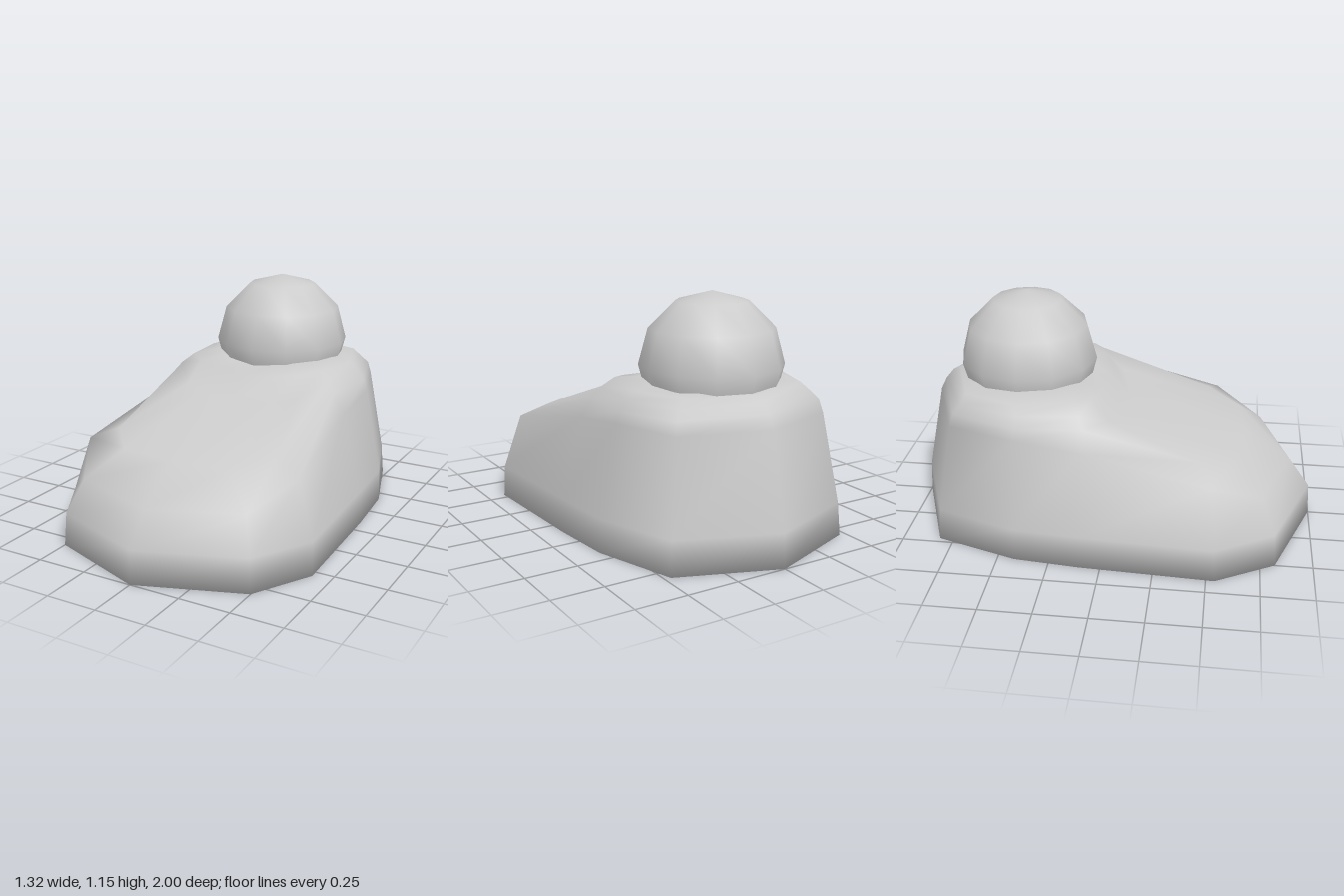
import * as THREE from 'three';

// Half outlines, each running toe -> left side -> heel as [x, y, z]
const RINGS = [
  // sole edge
  [[0, 0, 1], [0.5, 0, 0.82], [0.66, 0, 0.54], [0.63, 0, -0.1], [0.6, 0, -0.42], [0.47, 0, -0.82], [0, 0, -1]],
  // top of the low side wall
  [[0, 0.16, 0.99], [0.49, 0.16, 0.81], [0.655, 0.16, 0.53], [0.62, 0.16, -0.1], [0.595, 0.16, -0.42], [0.46, 0.16, -0.81], [0, 0.16, -0.99]],
  // shoulder
  [[0, 0.31, 0.88], [0.43, 0.32, 0.74], [0.57, 0.43, 0.5], [0.52, 0.55, -0.1], [0.51, 0.59, -0.42], [0.4, 0.59, -0.75], [0, 0.6, -0.9]],
  // toe top
  [[0, 0.46, 0.65], [0.28, 0.46, 0.62], [0.43, 0.49, 0.45], [0.46, 0.64, -0.1], [0.49, 0.64, -0.42], [0.39, 0.65, -0.73], [0, 0.66, -0.87]],
  // instep and ankle
  [[0, 0.59, 0.08], [0.2, 0.6, 0.04], [0.31, 0.62, 0], [0.42, 0.69, -0.12], [0.455, 0.69, -0.42], [0.36, 0.69, -0.7], [0, 0.71, -0.83]],
  // collar rim
  [[0, 0.7, 0], [0.18, 0.71, -0.04], [0.28, 0.72, -0.08], [0.37, 0.735, -0.16], [0.41, 0.725, -0.43], [0.32, 0.73, -0.68], [0, 0.73, -0.79]],
  // inner collar, under the ball
  [[0, 0.725, -0.11], [0.12, 0.735, -0.14], [0.2, 0.745, -0.18], [0.28, 0.75, -0.26], [0.31, 0.75, -0.43], [0.22, 0.74, -0.65], [0, 0.73, -0.74]],
];

// Closed skin through mirrored rings, capped at both ends
function loft(halfRings) {
  const rings = halfRings.map((h) => [
    ...h,
    ...h.slice(1, -1).reverse().map(([x, y, z]) => [-x, y, z]),
  ]);
  const n = rings[0].length;
  const points = rings.flat();
  const index = [];
  for (let r = 0; r < rings.length - 1; r++) {
    for (let j = 0; j < n; j++) {
      const a = r * n + j, b = r * n + ((j + 1) % n);
      index.push(a, b, b + n, a, b + n, a + n);
    }
  }
  const bottom = points.push([0, 0, 0]) - 1;
  const top = points.push([0, 0.74, -0.43]) - 1;
  const last = (rings.length - 1) * n;
  for (let j = 0; j < n; j++) {
    const k = (j + 1) % n;
    index.push(bottom, k, j, top, last + j, last + k);
  }
  const g = new THREE.BufferGeometry();
  g.setAttribute('position', new THREE.Float32BufferAttribute(points.flat(), 3));
  g.setIndex(index);
  g.computeVertexNormals();
  return g;
}

export function createModel() {
  const group = new THREE.Group();
  group.name = 'shoeWithBall';
  const material = new THREE.MeshStandardMaterial({ color: 0xcccccc });

  // Shoe-shaped body
  const body = new THREE.Mesh(loft(RINGS), material);
  body.name = 'shoeBody';
  group.add(body);

  // Ball sitting in the collar
  const ball = new THREE.Mesh(new THREE.SphereGeometry(0.34, 12, 6), material);
  ball.name = 'ball';
  ball.position.set(0.01, 0.808, -0.435);
  group.add(ball);

  return group;
}
